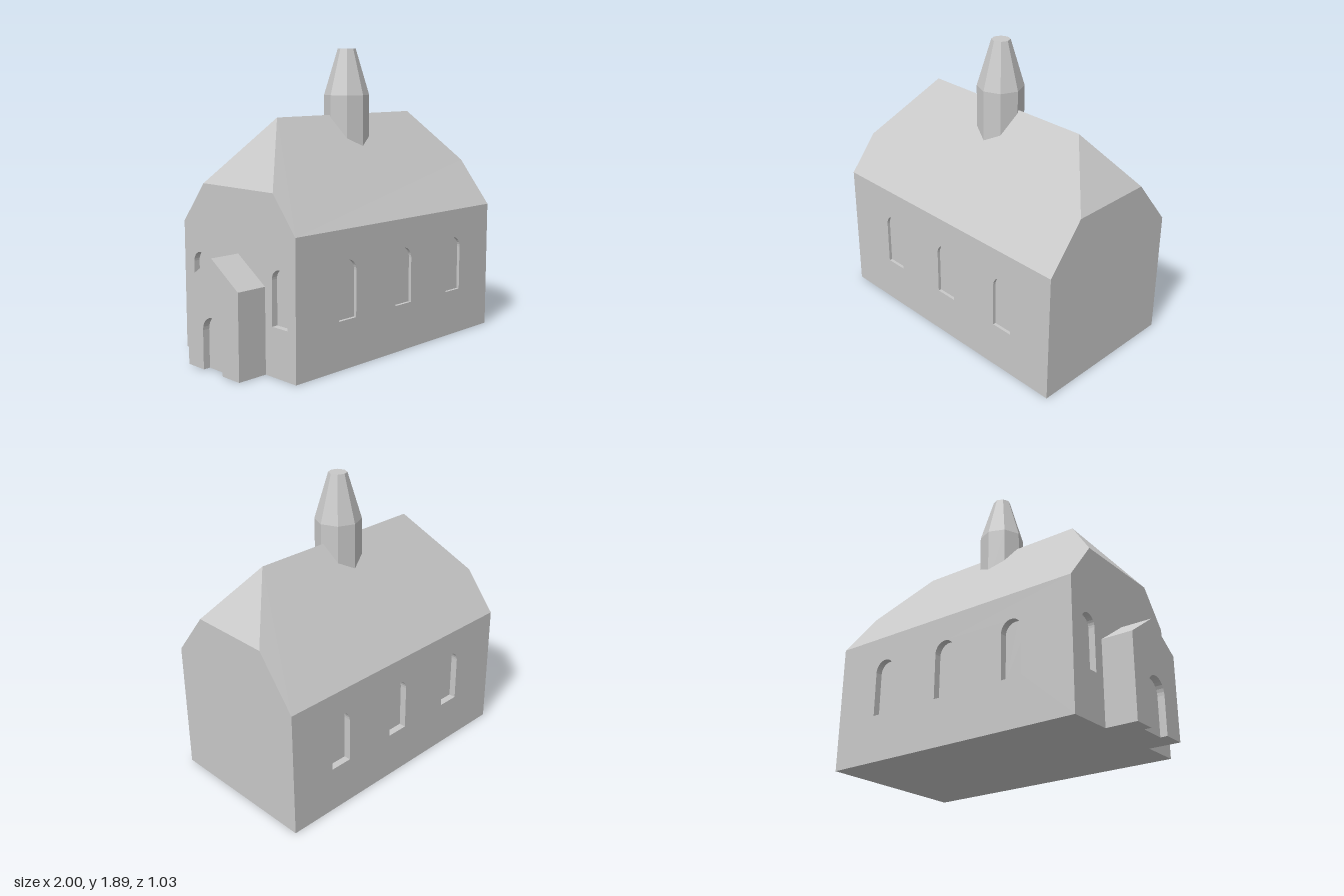
import * as THREE from 'three';

export function createModel() {
  const model = new THREE.Group();
  model.name = 'chapel';
  const stone = new THREE.MeshStandardMaterial({ color: 0xc8c8c8 });
  stone.name = 'plain grey';

  const add = (parent, name, geometry) => {
    const mesh = new THREE.Mesh(geometry, stone);
    mesh.name = name;
    parent.add(mesh);
    return mesh;
  };

  // Flat convex polygons (corners counter-clockwise seen from outside)
  const faces = (...polygons) => {
    const pos = [];
    for (const p of polygons)
      for (let i = 1; i < p.length - 1; i++) pos.push(...p[0], ...p[i], ...p[i + 1]);
    const g = new THREE.BufferGeometry();
    g.setAttribute('position', new THREE.Float32BufferAttribute(pos, 3));
    g.computeVertexNormals();
    return g;
  };

  // Round-headed opening, counter-clockwise from bottom left
  const arch = (cx, width, y0, y1) => {
    const r = width / 2, n = 14;
    const pts = [new THREE.Vector2(cx - r, y0), new THREE.Vector2(cx + r, y0)];
    for (let i = 0; i <= n; i++) {
      const a = (i / n) * Math.PI;
      pts.push(new THREE.Vector2(cx + r * Math.cos(a), y1 - r + r * Math.sin(a)));
    }
    return pts;
  };

  // Reveals and back panel of a recessed opening
  const niche = (parent, name, pts, depth, hasSill) => {
    const quads = [];
    pts.forEach((p, i) => {
      if (i === 0 && !hasSill) return;
      const q = pts[(i + 1) % pts.length];
      quads.push([[p.x, p.y, 0], [q.x, q.y, 0], [q.x, q.y, -depth], [p.x, p.y, -depth]]);
    });
    add(parent, name + 'Reveal', faces(...quads));
    add(parent, name + 'Panel', new THREE.ShapeGeometry(new THREE.Shape(pts))).position.z = -depth;
  };

  // Wall facing local +z with recessed windows
  const wall = (name, outline, windows, depth) => {
    const group = new THREE.Group();
    group.name = name;
    const shape = new THREE.Shape(outline.map(([x, y]) => new THREE.Vector2(x, y)));
    for (const pts of windows) {
      shape.holes.push(new THREE.Path(pts));
      niche(group, 'window', pts, depth, true);
    }
    add(group, name + 'Face', new THREE.ShapeGeometry(shape));
    model.add(group);
    return group;
  };

  // Nave dimensions
  const L = -0.8, R = 1, F = 0.515, B = -0.515;
  const eaveF = 0.845, eaveB = 0.82, ridgeY = 1.475, ridgeZ = 0.01;
  const hipL = { y: 1.075, f: 0.33, b: -0.31 };
  const hipR = { y: 1.135, f: 0.282, b: -0.262 };
  const windowX = [-0.383, 0.12, 0.62];

  // Long walls
  wall('frontWall', [[L, 0], [R, 0], [R, eaveF], [L, eaveF]],
    windowX.map(x => arch(x, 0.145, 0.3, 0.66)), 0.02).position.z = F;
  const back = wall('backWall', [[-R, 0], [-L, 0], [-L, eaveB], [-R, eaveB]],
    windowX.map(x => arch(-x, 0.145, 0.3, 0.66)), 0.045);
  back.position.z = B;
  back.rotation.y = Math.PI;

  // End walls
  const porchEnd = wall('porchEndWall',
    [[B, 0], [F, 0], [F, eaveF], [hipL.f, hipL.y], [hipL.b, hipL.y], [B, eaveB]],
    [-0.355, 0.38].map(z => arch(z, 0.13, 0.3, 0.64)), 0.04);
  porchEnd.position.x = L;
  porchEnd.rotation.y = -Math.PI / 2;
  const plainEnd = wall('plainEndWall',
    [[-F, 0], [-B, 0], [-B, eaveB], [-hipR.b, hipR.y], [-hipR.f, hipR.y], [-F, eaveF]], [], 0);
  plainEnd.position.x = R;
  plainEnd.rotation.y = Math.PI / 2;

  // Half-hipped roof and underside
  const ridge0 = [-0.48, ridgeY, ridgeZ], ridge1 = [0.73, ridgeY, ridgeZ];
  const lf = [L, hipL.y, hipL.f], lb = [L, hipL.y, hipL.b];
  const rf = [R, hipR.y, hipR.f], rb = [R, hipR.y, hipR.b];
  add(model, 'roof', faces(
    [[L, eaveF, F], [R, eaveF, F], rf, ridge1, ridge0, lf],
    [[R, eaveB, B], [L, eaveB, B], lb, ridge0, ridge1, rb],
    [lb, lf, ridge0],
    [rf, rb, ridge1]));
  add(model, 'base', faces([[L, 0, B], [R, 0, B], [R, 0, F], [L, 0, F]]));

  // Porch with an arched doorway
  const P = -1, pf = 0.255, pb = -0.22, pe = 0.525, pr = 0.685, pz = 0.015;
  const doorDepth = 0.045, door = arch(pz, 0.18, 0, 0.33);
  const porch = new THREE.Group();
  porch.name = 'porch';
  model.add(porch);
  add(porch, 'porchSidesAndRoof', faces(
    [[P, 0, pf], [L, 0, pf], [L, pe, pf], [P, pe, pf]],
    [[L, 0, pb], [P, 0, pb], [P, pe, pb], [L, pe, pb]],
    [[P, pe, pf], [L, pe, pf], [L, pr, pz], [P, pr, pz]],
    [[L, pe, pb], [P, pe, pb], [P, pr, pz], [L, pr, pz]]));
  const strip = (x0, z0, z1) => [[x0, 0, z0], [L, 0, z0], [L, 0, z1], [x0, 0, z1]];
  add(porch, 'porchBase', faces(
    strip(P, pb, door[0].x), strip(P + doorDepth, door[0].x, door[1].x), strip(P, door[1].x, pf)));
  const gable = new THREE.Group();
  gable.name = 'porchGable';
  gable.position.x = P;
  gable.rotation.y = -Math.PI / 2;
  porch.add(gable);
  const outline = [[pf, 0], [pf, pe], [pz, pr], [pb, pe], [pb, 0]].map(([x, y]) => new THREE.Vector2(x, y));
  const doorEdge = [door[0], ...door.slice(2).reverse(), door[1]];
  add(gable, 'porchGableFace', new THREE.ShapeGeometry(new THREE.Shape([...outline, ...doorEdge])));
  niche(gable, 'door', door, doorDepth, false);

  // Eight-sided ridge turret with a tapering cap
  const tier = (name, rTop, rBottom, y0, y1, open) => {
    const g = new THREE.CylinderGeometry(rTop, rBottom, y1 - y0, 8, 1, open).toNonIndexed();
    g.computeVertexNormals();
    add(model, name, g).position.set(0.11, (y0 + y1) / 2, 0.023);
  };
  tier('turretShaft', 0.146, 0.146, 1.2, 1.6, true);
  tier('turretCap', 0.058, 0.146, 1.6, 1.895, false);

  return model;
}
